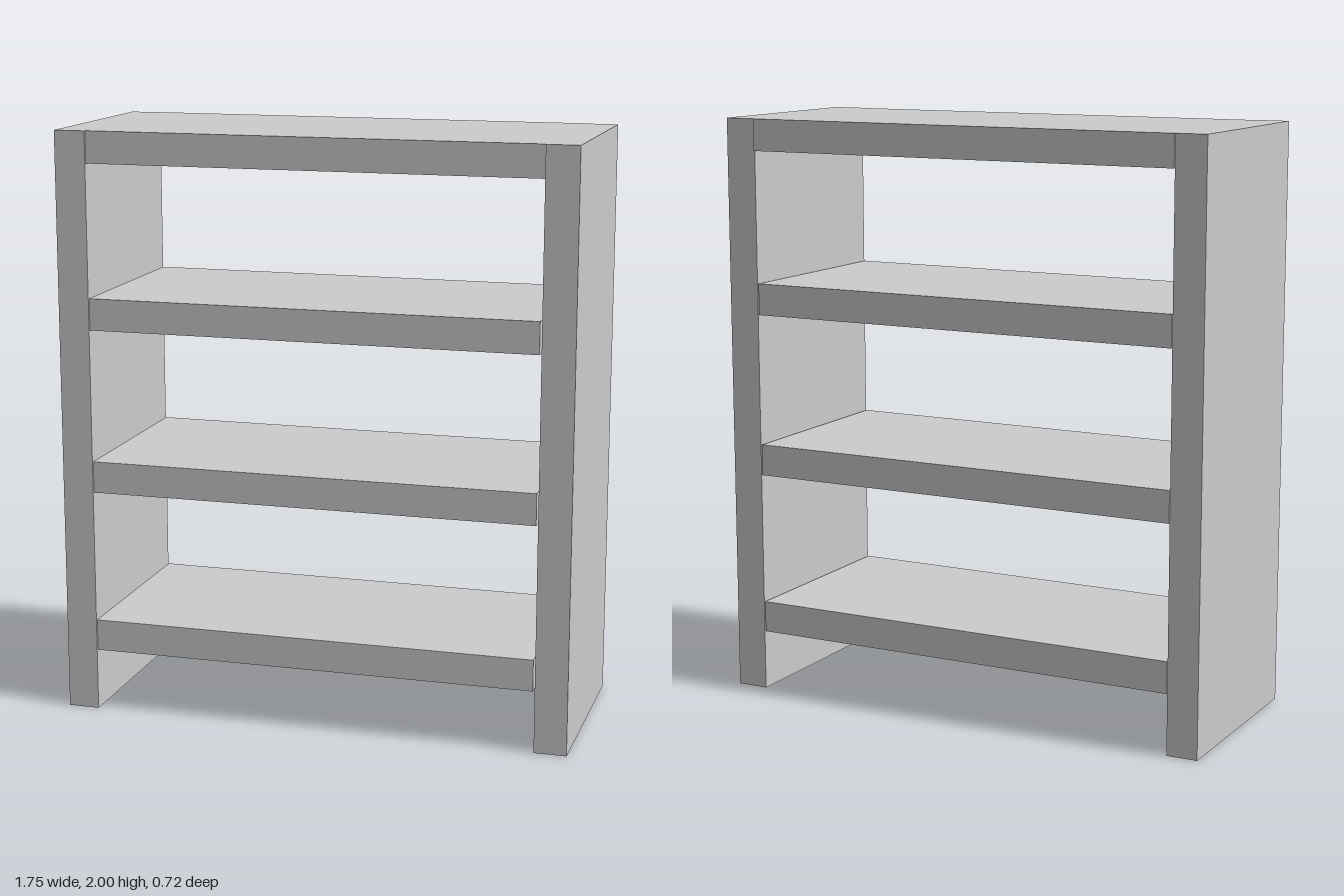
import * as THREE from 'three';

export function createModel() {
  const group = new THREE.Group();
  const material = new THREE.MeshStandardMaterial({ color: 0xcccccc, flatShading: true });

  // Board given by its limits on each axis
  const board = (name, [x0, x1], [y0, y1], [z0, z1]) => {
    const mesh = new THREE.Mesh(new THREE.BoxGeometry(x1 - x0, y1 - y0, z1 - z0), material);
    mesh.position.set((x0 + x1) / 2, (y0 + y1) / 2, (z0 + z1) / 2);
    mesh.name = name;
    group.add(mesh);
  };

  const thickness = 0.108;
  const panelDepth = [-0.352, 0.358];
  const shelfDepth = [-0.358, 0.35]; // set slightly back from the panels

  // Upright side panels
  board('rightPanel', [-0.877, -0.77], [0, 2], panelDepth);
  board('leftPanel', [0.767, 0.877], [0, 2], panelDepth);

  // Top board
  board('topBoard', [-0.77, 0.767], [2 - thickness, 2], shelfDepth);

  // Three shelves, with a hairline gap at the left panel
  [0.21, 0.772, 1.333].forEach((y, i) =>
    board(`shelf${i + 1}`, [-0.77, 0.759], [y, y + thickness], shelfDepth));

  return group;
}
